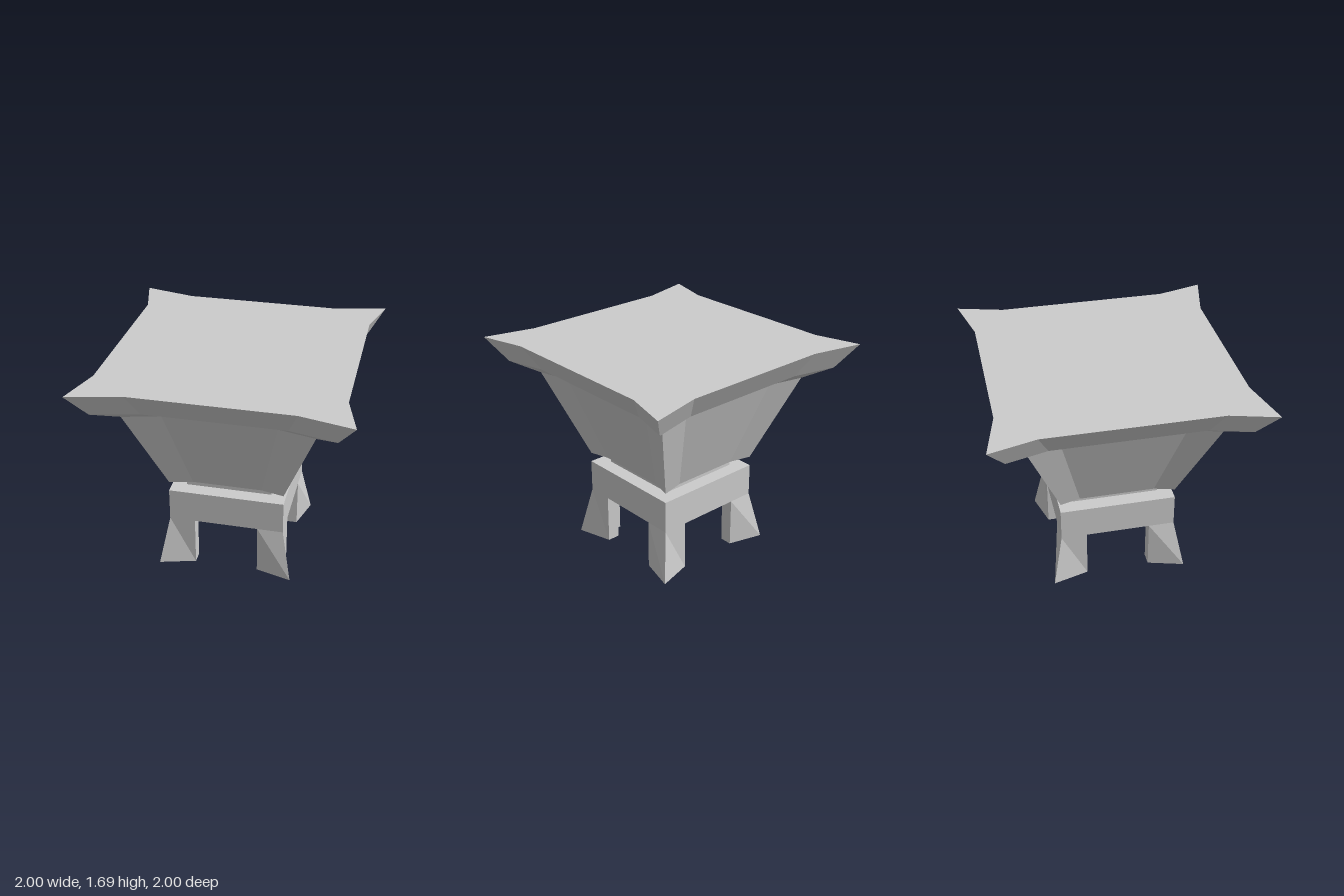
import * as THREE from 'three';

const material = new THREE.MeshStandardMaterial({ color: 0xcccccc, flatShading: true });

function addMesh(parent, name, geometry) {
  const mesh = new THREE.Mesh(geometry, material);
  mesh.name = name;
  parent.add(mesh);
  return mesh;
}

// Square outline with pulled-out corners, counter-clockwise seen from above
const outline = [
  [1, 1], [0.905, 0.65], [0.905, -0.65],
  [1, -1], [0.6, -0.905], [-0.6, -0.905],
  [-1, -1], [-0.905, -0.65], [-0.905, 0.65],
  [-1, 1], [-0.6, 0.905], [0.6, 0.905],
];

// Stack scaled outlines [scale, y] from bottom to top, with fan caps as chosen
function loft(rings, capBottom, capTop) {
  const pos = [];
  const n = outline.length;
  const point = (r, i) => [outline[i % n][0] * rings[r][0], rings[r][1], outline[i % n][1] * rings[r][0]];
  const tri = (a, b, c) => pos.push(...a, ...b, ...c);
  const last = rings.length - 1;
  for (let i = 0; i < n; i++) {
    for (let r = 0; r < last; r++) {
      const a = point(r, i), b = point(r, i + 1), c = point(r + 1, i + 1), d = point(r + 1, i);
      tri(a, b, c);
      tri(a, c, d);
    }
    if (capBottom) tri([0, rings[0][1], 0], point(0, i + 1), point(0, i));
    if (capTop) tri([0, rings[last][1], 0], point(last, i), point(last, i + 1));
  }
  const geometry = new THREE.BufferGeometry();
  geometry.setAttribute('position', new THREE.Float32BufferAttribute(pos, 3));
  geometry.computeVertexNormals();
  return geometry;
}

// L-shaped leg in the +x +z corner; only its outer corner flares out at the foot
function legGeometry() {
  const outer = 0.448, end = 0.248, inner = 0.35, height = 0.393, flare = 0.077;
  const shape = new THREE.Shape([
    [outer, -outer], [outer, -end], [inner, -end],
    [inner, -inner], [end, -inner], [end, -outer],
  ].map(([x, y]) => new THREE.Vector2(x, y)));
  const geometry = new THREE.ExtrudeGeometry(shape, { depth: height, bevelEnabled: false });
  geometry.rotateX(-Math.PI / 2);
  const p = geometry.attributes.position;
  for (let i = 0; i < p.count; i++) {
    if (p.getY(i) < 0.01 && p.getX(i) > 0.44 && p.getZ(i) > 0.44) {
      p.setX(i, outer + flare);
      p.setZ(i, outer + flare);
    }
  }
  geometry.computeVertexNormals();
  return geometry;
}

export function createModel() {
  const model = new THREE.Group();
  model.name = 'pedestal';

  // Flared top: tapered body and overhanging rim
  addMesh(model, 'taperedBody', loft([[0.445, 0.725], [0.703, 1.41]], true, false));
  addMesh(model, 'rim', loft([[0.703, 1.41], [0.873, 1.5], [1, 1.69]], false, true));

  // Neck between body and stand
  addMesh(model, 'neck', new THREE.BoxGeometry(0.67, 0.075, 0.67)).position.y = 0.6875;

  // Stand: block on four corner legs
  const stand = new THREE.Group();
  stand.name = 'stand';
  model.add(stand);
  addMesh(stand, 'standBlock', new THREE.BoxGeometry(0.896, 0.257, 0.896)).position.y = 0.5215;
  const leg = legGeometry();
  ['frontLeftLeg', 'backLeftLeg', 'backRightLeg', 'frontRightLeg'].forEach((name, i) => {
    addMesh(stand, name, leg).rotation.y = i * Math.PI / 2;
  });

  return model;
}
